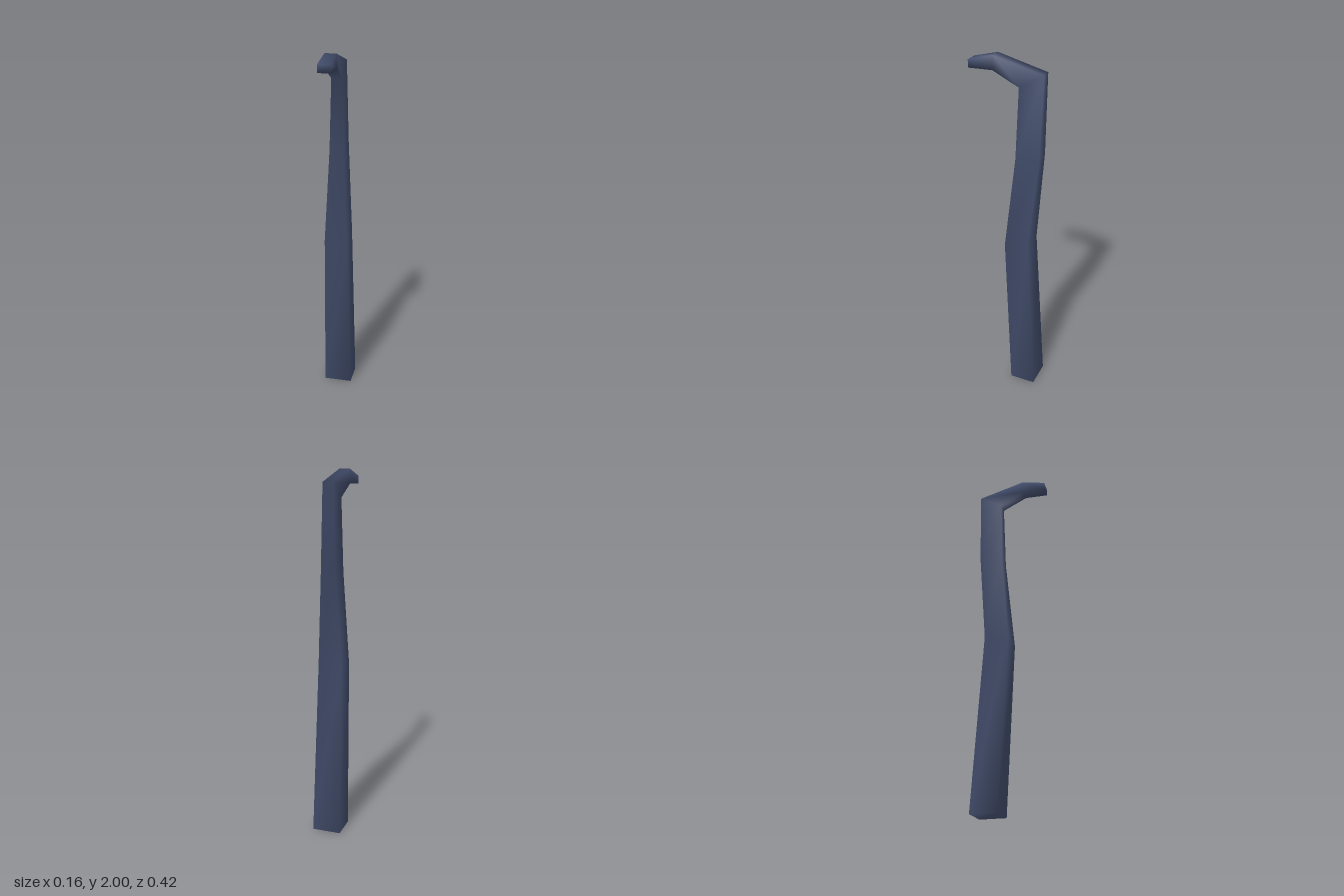
import * as THREE from 'three';

// Cross-sections from the foot to the tip of the hook:
// right x, left x, inner edge [y, z], outer edge [y, z]
const sections = [
  [-0.08, 0.08, [0, -0.06], [0, -0.208]],
  [-0.067, 0.063, [0.95, -0.01], [0.97, -0.147]],
  [-0.048, 0.03, [1.47, -0.056], [1.5, -0.19]],
  [-0.04, 0.016, [1.855, -0.066], [1.935, -0.197]],
  [-0.042, 0.02, [1.925, 0.075], [2.0, 0.072]],
  [-0.047, 0.025, [1.922, 0.208], [1.963, 0.208]],
];

// Four-sided loft with shared corners, so the shading runs smoothly over the edges
function loft(rings) {
  const positions = [];
  const index = [];
  rings.forEach(([x0, x1, [yi, zi], [yo, zo]]) => {
    positions.push(x0, yi, zi, x1, yi, zi, x1, yo, zo, x0, yo, zo);
  });
  for (let r = 0; r < rings.length - 1; r++) {
    for (let i = 0; i < 4; i++) {
      const a = r * 4 + i;
      const b = r * 4 + ((i + 1) % 4);
      index.push(a, b, b + 4, a, b + 4, a + 4);
    }
  }
  // Foot and tip caps
  const e = (rings.length - 1) * 4;
  index.push(0, 2, 1, 0, 3, 2, e, e + 1, e + 2, e, e + 2, e + 3);
  const geometry = new THREE.BufferGeometry();
  geometry.setAttribute('position', new THREE.Float32BufferAttribute(positions, 3));
  geometry.setIndex(index);
  geometry.computeVertexNormals();
  return geometry;
}

export function createModel() {
  const group = new THREE.Group();
  group.name = 'hookedPost';
  const slateBlue = new THREE.MeshStandardMaterial({ color: 0x424d6b });
  slateBlue.name = 'slateBlue';

  // Tapering bent post that ends in a forward hook
  const post = new THREE.Mesh(loft(sections), slateBlue);
  post.name = 'postAndHook';
  group.add(post);
  return group;
}
